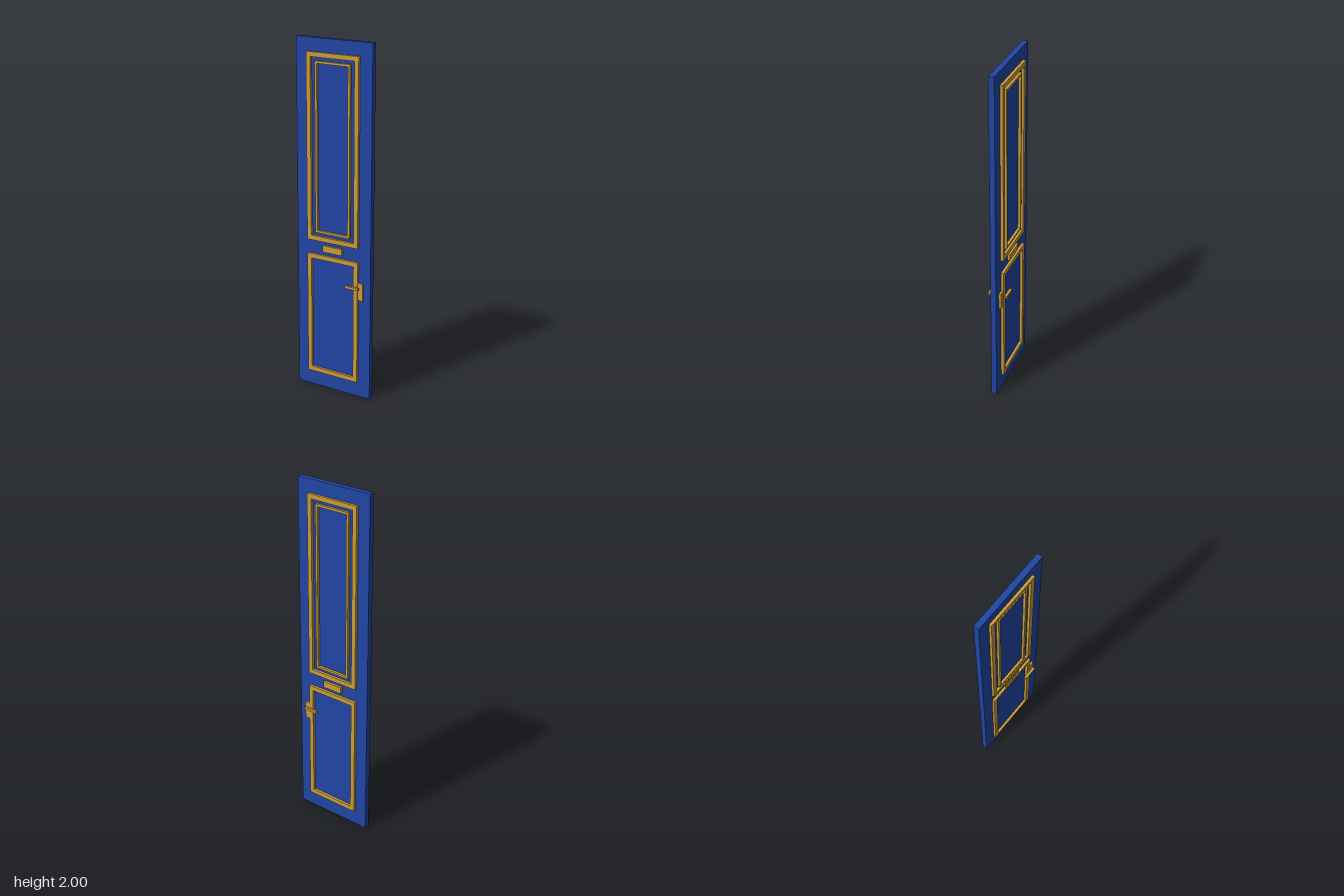
import * as THREE from 'three';

export function createModel() {
  const door = new THREE.Group();
  door.name = 'door';
  const blue = new THREE.MeshStandardMaterial({ color: 0x2045a3 });
  blue.name = 'blue paint';
  const gold = new THREE.MeshStandardMaterial({ color: 0xc99c3a });
  gold.name = 'gold trim';

  // Box given by its extents on each axis
  function box(name, mat, x0, x1, y0, y1, z0, z1) {
    const mesh = new THREE.Mesh(new THREE.BoxGeometry(x1 - x0, y1 - y0, z1 - z0), mat);
    mesh.position.set((x0 + x1) / 2, (y0 + y1) / 2, (z0 + z1) / 2);
    mesh.name = name;
    door.add(mesh);
  }

  // Rectangular moulding with a hole, running through the door leaf
  function frame(name, x0, x1, y0, y1, width, z0, z1) {
    const rect = (C, d) => new C([
      new THREE.Vector2(x0 + d, y0 + d), new THREE.Vector2(x1 - d, y0 + d),
      new THREE.Vector2(x1 - d, y1 - d), new THREE.Vector2(x0 + d, y1 - d),
    ]);
    const shape = rect(THREE.Shape, 0);
    shape.holes.push(rect(THREE.Path, width));
    const geo = new THREE.ExtrudeGeometry(shape, { depth: z1 - z0, bevelEnabled: false });
    const mesh = new THREE.Mesh(geo, gold);
    mesh.position.z = z0;
    mesh.name = name;
    door.add(mesh);
  }

  box('doorLeaf', blue, -0.235, 0.235, 0, 2, -0.016, 0.015);

  frame('upperOuterFrame', -0.163, 0.161, 0.885, 1.926, 0.026, -0.032, 0.03);
  frame('upperInnerFrame', -0.11, 0.108, 0.932, 1.88, 0.013, -0.031, 0.029);
  frame('lowerFrame', -0.163, 0.161, 0.09, 0.804, 0.026, -0.032, 0.03);

  box('letterPlate', gold, -0.064, 0.06, 0.826, 0.863, -0.031, 0.029);
  box('lockPlate', gold, 0.138, 0.193, 0.587, 0.686, -0.029, 0.027);

  // Lever handles on both sides
  box('frontHandle', gold, 0.095, 0.177, 0.653, 0.667, 0.04, 0.055);
  box('backHandle', gold, 0.095, 0.177, 0.653, 0.667, -0.057, -0.042);

  return door;
}
